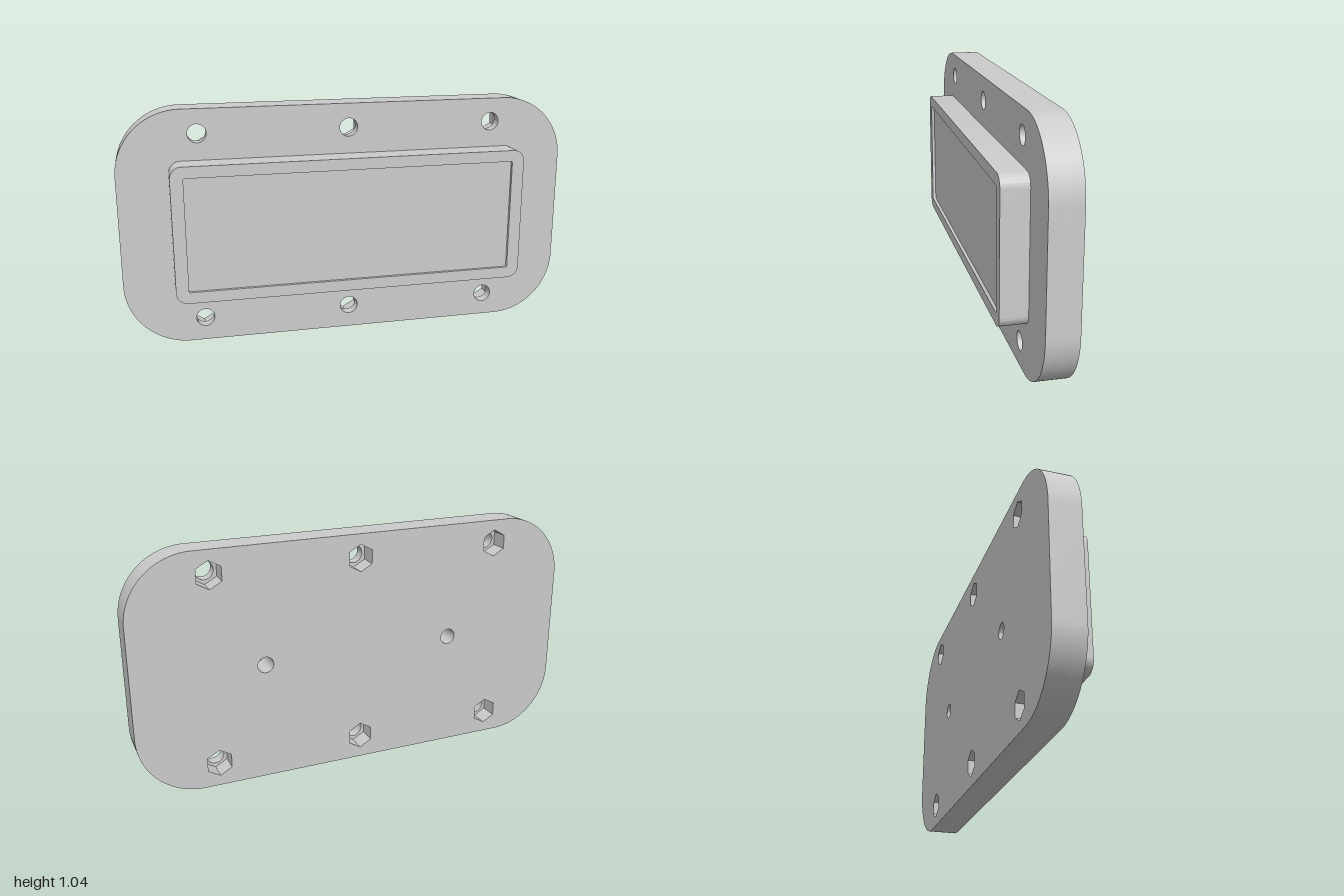
import * as THREE from 'three';
import { toCreasedNormals } from 'three/addons/utils/BufferGeometryUtils.js';

const MID_Y = 0.52;

// Rounded rectangle centred on the plate's middle
function roundedRect(w, h, r, Target = THREE.Shape) {
  const s = new Target();
  const x = w / 2, y = h / 2;
  s.moveTo(-x + r, MID_Y - y);
  s.lineTo(x - r, MID_Y - y);
  s.absarc(x - r, MID_Y - y + r, r, -Math.PI / 2, 0);
  s.lineTo(x, MID_Y + y - r);
  s.absarc(x - r, MID_Y + y - r, r, 0, Math.PI / 2);
  s.lineTo(-x + r, MID_Y + y);
  s.absarc(-x + r, MID_Y + y - r, r, Math.PI / 2, Math.PI);
  s.lineTo(-x, MID_Y - y + r);
  s.absarc(-x + r, MID_Y - y + r, r, Math.PI, Math.PI * 1.5);
  return s;
}

function circle(x, y, r) {
  return new THREE.Path().absarc(x, y, r, 0, Math.PI * 2, true);
}

// Hexagon with a corner at the top
function hexagon(x, y, r) {
  const points = [];
  for (let i = 0; i < 6; i++) {
    const a = Math.PI / 2 - i * Math.PI / 3;
    points.push(new THREE.Vector2(x + r * Math.cos(a), y + r * Math.sin(a)));
  }
  return new THREE.Path(points).closePath();
}

export function createModel() {
  const group = new THREE.Group();
  const material = new THREE.MeshStandardMaterial({ color: 0xcccccc });

  // Extrudes an outline between two z levels
  function slab(name, shape, z0, z1) {
    const geo = new THREE.ExtrudeGeometry(shape, { depth: z1 - z0, bevelEnabled: false, curveSegments: 16 });
    geo.translate(0, 0, z0);
    const mesh = new THREE.Mesh(toCreasedNormals(geo, Math.PI / 6), material);
    mesh.name = name;
    group.add(mesh);
  }

  const back = -0.121, pocketFloor = -0.04, face = 0.01, recessFloor = 0.109, top = 0.123;

  // Plate: hexagonal nut pockets behind, round bolt holes in front
  const rear = roundedRect(2, 1.04, 0.28);
  const front = roundedRect(2, 1.04, 0.28);
  for (const x of [-0.655, 0, 0.655]) {
    for (const y of [MID_Y - 0.415, MID_Y + 0.415]) {
      rear.holes.push(hexagon(x, y, 0.06));
      front.holes.push(circle(x, y, 0.04));
    }
  }
  // Two blind holes in the back, closed by the boss
  for (const x of [-0.435, 0.435]) {
    rear.holes.push(circle(x, MID_Y, 0.035));
    front.holes.push(circle(x, MID_Y, 0.035));
  }
  slab('plateRear', rear, back, pocketFloor);
  slab('plateFront', front, pocketFloor, face);

  // Raised boss with a shallow recess framed by a rim
  slab('boss', roundedRect(1.56, 0.6, 0.05), face, recessFloor);
  const rim = roundedRect(1.56, 0.6, 0.05);
  rim.holes.push(roundedRect(1.45, 0.5, 0.005, THREE.Path));
  slab('bossRim', rim, recessFloor, top);

  return group;
}
